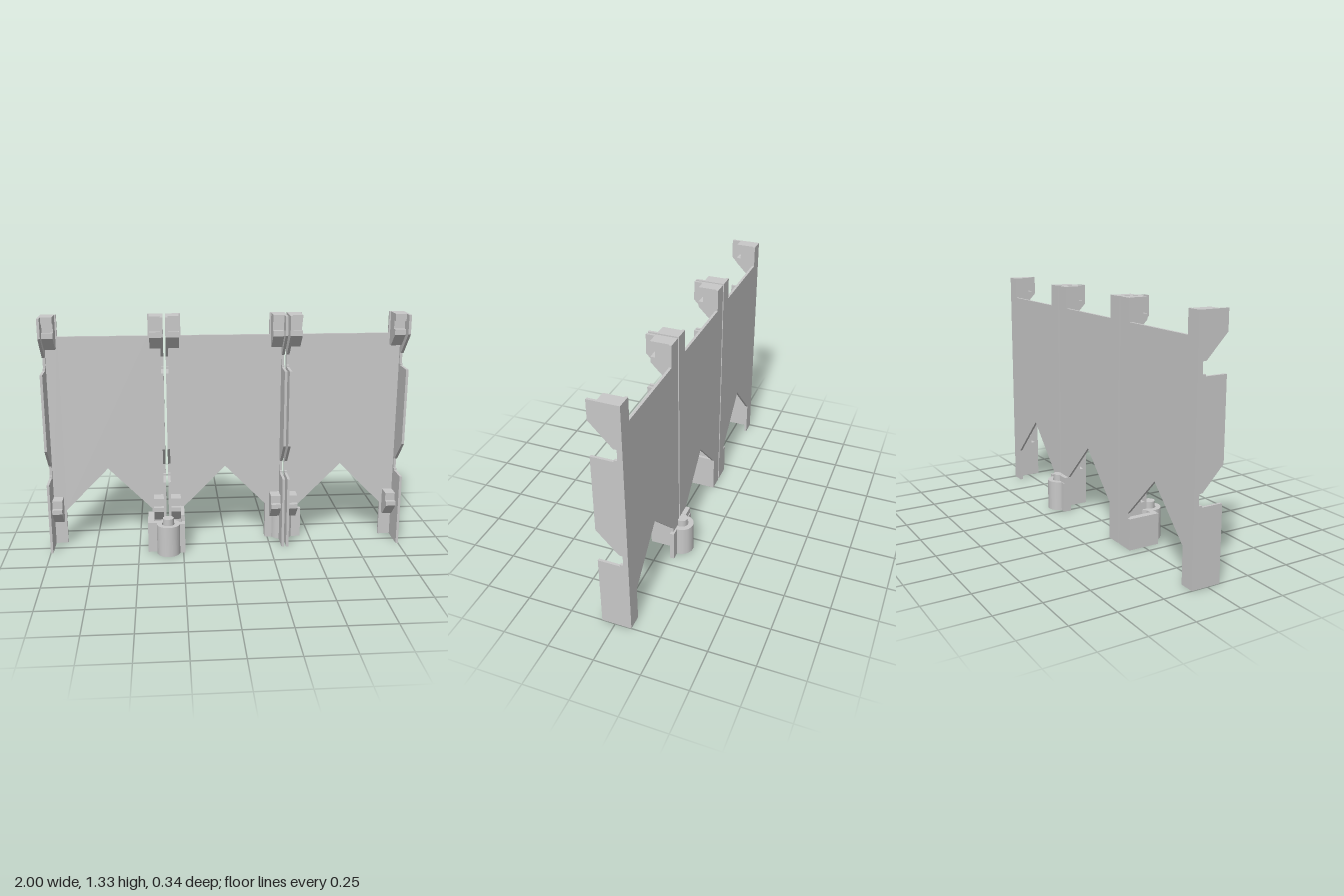
import * as THREE from 'three';

const grey = new THREE.MeshStandardMaterial({ color: 0xc8c8c8 });
grey.name = 'light grey plastic';

const HALF = 0.329;            // half width of one panel
const BACK = -0.09, SKIN = -0.076; // back and front faces of the plate

const toShape = (pts) => new THREE.Shape(pts.map(([a, b]) => new THREE.Vector2(a, b)));

function add(parent, name, geometry) {
  const mesh = new THREE.Mesh(geometry, grey);
  mesh.name = name;
  parent.add(mesh);
  return mesh;
}

// Box given by its limits
function slab(parent, name, x0, x1, y0, y1, z0, z1) {
  const g = new THREE.BoxGeometry(x1 - x0, y1 - y0, z1 - z0);
  g.translate((x0 + x1) / 2, (y0 + y1) / 2, (z0 + z1) / 2);
  return add(parent, name, g);
}

// Side profile of (z, y) points, swept from x0 to x1
function sideProfile(parent, name, pts, x0, x1) {
  const g = new THREE.ExtrudeGeometry(toShape(pts), { depth: x1 - x0, bevelEnabled: false });
  g.rotateY(-Math.PI / 2);
  g.translate(x1, 0, 0);
  return add(parent, name, g);
}

// Tooth-like notch in the flange, starting at height y
const notch = (y) => [
  [0.073, y], [-0.045, y], [-0.045, y + 0.01], [-0.063, y + 0.01],
  [-0.063, y + 0.07], [-0.045, y + 0.07], [0.073, y + 0.193],
];

const flange = [[BACK, 0], [0.073, 0], ...notch(0.41), ...notch(1.03), [0.073, 1.33], [BACK, 1.33]];
const topHook = [
  [SKIN, 1.145], [-0.045, 1.145], [0.025, 1.215], [0.025, 1.245], [0, 1.245],
  [0, 1.29], [0.025, 1.29], [0.025, 1.33], [SKIN, 1.33],
];
const lowHook = [[SKIN, 0.14], [-0.05, 0.14], [0.025, 0.215], [0.025, 0.24], [0, 0.24], [0, 0.285], [SKIN, 0.285]];

function makePanel(cx) {
  const panel = new THREE.Group();
  panel.name = 'panel';
  const leg = HALF - 0.083;
  // Plate with raised corners and a pointed arch between the legs
  const outline = [
    [-HALF, 0], [-leg, 0], [-leg, 0.2], [0, 0.45], [leg, 0.2], [leg, 0], [HALF, 0],
    [HALF, 1.33], [leg, 1.33], [leg, 1.21], [-leg, 1.21], [-leg, 1.33], [-HALF, 1.33],
  ];
  const plate = new THREE.ExtrudeGeometry(toShape(outline), { depth: SKIN - BACK, bevelEnabled: false });
  plate.translate(0, 0, BACK);
  add(panel, 'plate', plate);

  // Flange and hooks on both sides
  for (const s of [-1, 1]) {
    const span = (a, b) => (s > 0 ? [a, b] : [-b, -a]);
    sideProfile(panel, 'flange', flange, ...span(HALF - 0.014, HALF));
    sideProfile(panel, 'topHook', topHook, ...span(HALF - 0.074, HALF - 0.014));
    sideProfile(panel, 'lowerHook', lowHook, ...span(HALF - 0.07, HALF - 0.014));
  }
  panel.position.x = cx;
  return panel;
}

// Hollow barrel with a pin standing in it
function makeKnuckle(x, z) {
  const knuckle = new THREE.Group();
  knuckle.name = 'hingeKnuckle';
  const ring = new THREE.Shape().absarc(0, 0, 0.065, 0, Math.PI * 2, false);
  ring.holes.push(new THREE.Path().absarc(0, 0, 0.036, 0, Math.PI * 2, true));
  const barrel = new THREE.ExtrudeGeometry(ring, { depth: 0.175, bevelEnabled: false, curveSegments: 32 });
  barrel.rotateX(-Math.PI / 2);
  add(knuckle, 'barrel', barrel);
  const pin = new THREE.CylinderGeometry(0.031, 0.031, 0.21, 32);
  pin.translate(0, 0.105, 0);
  add(knuckle, 'pin', pin);
  knuckle.position.set(x, 0, z);
  return knuckle;
}

export function createModel() {
  const model = new THREE.Group();
  model.name = 'foldingScreen';
  for (const x of [-0.671, 0, 0.671]) model.add(makePanel(x));

  // Front hinge, carried by brackets reaching around the flanges
  const front = new THREE.Group();
  front.name = 'frontHinge';
  front.add(makeKnuckle(-0.333, 0.105));
  slab(front, 'barrelBracketSide', -0.448, -0.413, 0, 0.175, BACK, 0.09);
  slab(front, 'barrelBracketArm', -0.448, -0.375, 0, 0.175, 0.06, 0.09);
  slab(front, 'pinBracketSide', -0.26, -0.24, 0, 0.175, BACK, 0.115);
  slab(front, 'pinBracketArm', -0.288, -0.24, 0, 0.175, 0.085, 0.115);
  slab(front, 'pinBracketRib', -0.26, -0.24, 0.17, 0.21, BACK, 0.07);
  model.add(front);

  // Rear hinge, carried by short arms behind the plates
  const rear = new THREE.Group();
  rear.name = 'rearHinge';
  rear.add(makeKnuckle(0.333, -0.105));
  slab(rear, 'pinArm', 0.235, 0.285, 0, 0.175, -0.12, SKIN);
  slab(rear, 'pinArmStep', 0.235, 0.3, 0.17, 0.21, -0.115, SKIN);
  slab(rear, 'barrelArm', 0.385, 0.445, 0, 0.175, -0.1, SKIN);
  model.add(rear);
  return model;
}
